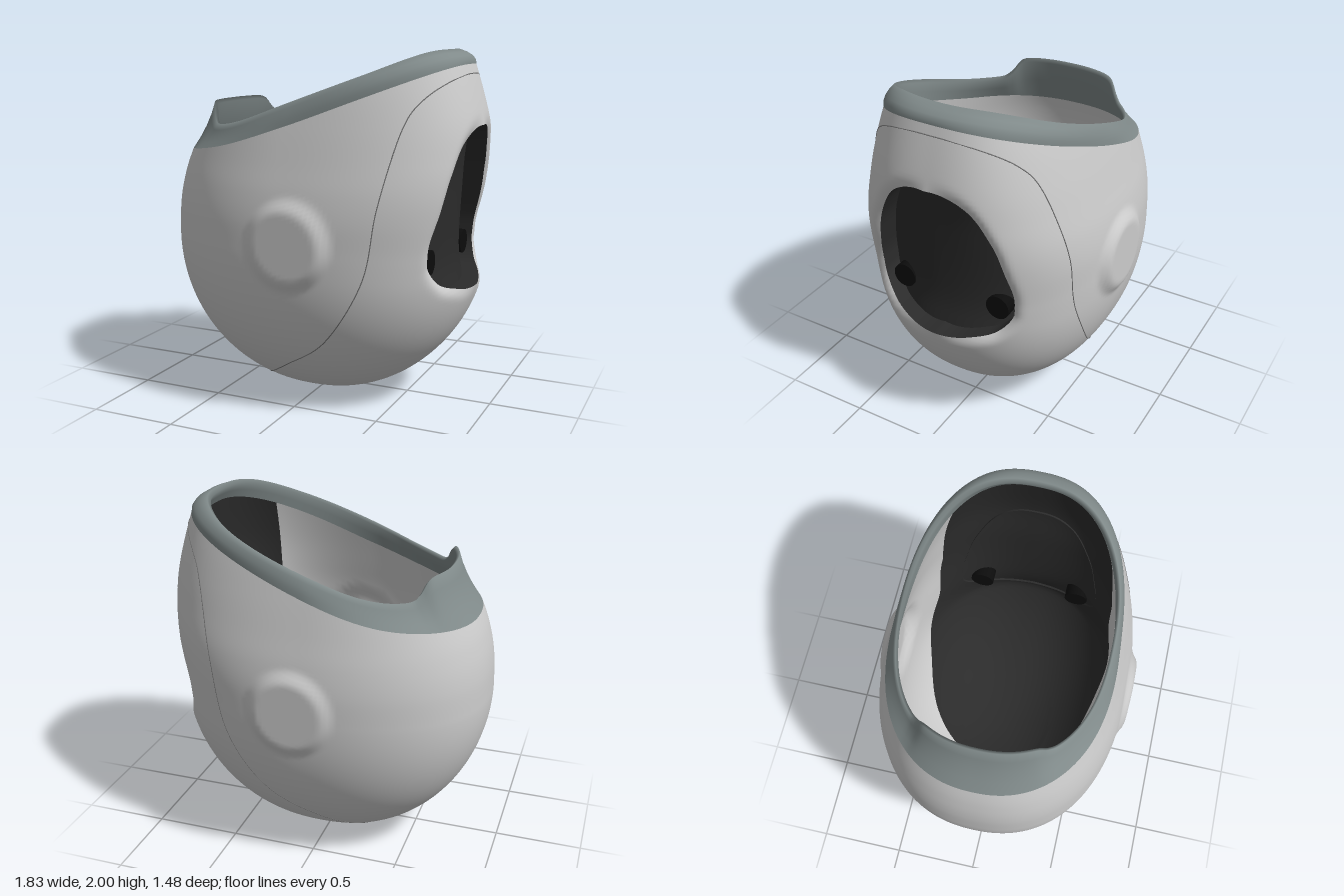
import * as THREE from 'three';
import { mergeVertices } from 'three/addons/utils/BufferGeometryUtils.js';

// Smooth lookup y = f(x) through a few points
function smooth(points) {
  const s = new THREE.SplineCurve(points.map(p => new THREE.Vector2(...p))).getPoints(200);
  return x => {
    if (x <= s[0].x) return s[0].y;
    for (let i = 1; i < s.length; i++) {
      if (x <= s[i].x) {
        const t = (x - s[i - 1].x) / (s[i].x - s[i - 1].x || 1);
        return s[i - 1].y + t * (s[i].y - s[i - 1].y);
      }
    }
    return s[s.length - 1].y;
  };
}

// Egg outline above its widest level: left, right and side half-widths by height
const MID = 0.93;
const leftUp = smooth([[MID, 0.91], [1.1, 0.902], [1.25, 0.875], [1.41, 0.82], [1.7, 0.68], [2, 0.5]]);
const rightUp = smooth([[MID, 0.93], [1.1, 0.937], [1.25, 0.943], [1.42, 0.938], [1.63, 0.91], [1.92, 0.83], [2, 0.79]]);
const sideUp = smooth([[MID, 0.715], [1.1, 0.71], [1.25, 0.69], [1.4, 0.657], [1.6, 0.612], [1.8, 0.56], [2, 0.49]]);
const bowl = (y, n) => y >= MID ? 1 : Math.sqrt(Math.max(0, 1 - Math.pow((MID - y) / MID, n)));
const leftR = y => leftUp(y) * bowl(y, 2);
const rightR = y => rightUp(y) * bowl(y, 2);
const sideR = y => sideUp(y) * bowl(y, 2.2);

// Slanted cut of the shell, crest of the rim, seam between the two shell halves
const cut = smooth([[-0.9, 1.405], [-0.82, 1.41], [-0.4, 1.477], [0, 1.6], [0.4, 1.75], [0.83, 1.92], [0.95, 1.97]]);
const crest = smooth([[-0.7, 1.69], [-0.66, 1.695], [-0.6, 1.685], [-0.56, 1.61], [-0.5, 1.58], [-0.3, 1.615],
  [0, 1.72], [0.4, 1.87], [0.66, 1.98], [0.74, 2]]);
const seam = smooth([[0, -0.6], [0.07, -0.33], [0.25, -0.04], [0.45, 0.24], [0.8, 0.46], [1.2, 0.54],
  [1.6, 0.63], [1.75, 0.71], [1.87, 0.845]]);
const visorR = smooth([[0, 0.9], [0.6, 0.8], [0.87, 0.755], [1.3, 0.76], [1.6, 0.79], [1.9, 0.76]]);
const THIN = 0.93;
const innerRightR = y => Math.min(THIN * rightR(y), visorR(y));

// Rounded-off ellipse section; squareness grows towards the top of the front half
const power = (x, y) => x > 0 ? 2.2 + 0.4 * THREE.MathUtils.smoothstep(y, 0.8, 1.4) : 2.25;
const across = (t, n) => Math.pow(Math.max(0, 1 - Math.pow(Math.abs(t), n)), 1 / n);
function section(a, left, right, side, y, n) {
  const c = Math.cos(a), s = -Math.sin(a);
  const k = Math.pow(Math.abs(c) ** n + Math.abs(s) ** n, -1 / n);
  return new THREE.Vector3(c * k * (c > 0 ? right : left), y, s * k * side);
}
// Soft round boss pressed out of each side wall
function boss(p, z) {
  const t = 1 - THREE.MathUtils.smoothstep(Math.hypot(p.x - 0.06, p.y - 0.98), 0.18, 0.26);
  if (t > 0 && Math.abs(p.z) > 0.4) p.z = Math.sign(p.z) * THREE.MathUtils.lerp(Math.abs(p.z), z, t);
  return p;
}
const outer = (a, y) => boss(section(a, leftR(y), rightR(y), sideR(y), y, power(Math.cos(a), y)), 0.738);
const inner = (a, y) => {
  const p = section(a, THIN * leftR(y), innerRightR(y), THIN * sideR(y), y, power(Math.cos(a), y));
  if (y < MID) p.y += 0.05 * (1 - y / MID);
  return boss(p, 0.69);
};
function topY(a) {
  let y = 1.6;
  for (let i = 0; i < 25; i++) y = (y + cut(outer(a, y).x)) / 2;
  return y;
}

// Window outline on the +x side, as a radius around (z 0, y 1.1); its sides dip into the shell
const WIN_Y = 1.1;
const winAngle = p => Math.atan2(p.y - WIN_Y, Math.abs(p.z));
const winRadius = smooth([[0, 0.7], [0.2, 0.715], [0.33, 0.76], [0.41, 0.86], [0.42, 0.95], [0.39, 1.15], [0.33, 1.35],
  [0.22, 1.52], [0.1, 1.585], [0, 1.595]].map(([z, y]) => [Math.atan2(y - WIN_Y, z), Math.hypot(z, y - WIN_Y)]));
const winGap = p => Math.hypot(p.z, p.y - WIN_Y) - winRadius(winAngle(p));
const dip = p => 0.045 * Math.min(1, Math.abs(p.z) / 0.35) * Math.max(0, 1 - Math.max(0, winGap(p)) / 0.07) ** 2;
function windowPoint(z, y) {
  const p = new THREE.Vector3(0, y, z), phi = winAngle(p), r = winRadius(phi);
  p.set(0, WIN_Y + r * Math.sin(phi), Math.sign(z || 1) * r * Math.cos(phi));
  p.x = rightR(p.y) * across(p.z / sideR(p.y), power(1, p.y)) - dip(p);
  return p;
}

// Surface from a point rule over u, v in 0..1; corners inside the window move to its outline,
// and faces lying wholly inside are left out
function grid(rule, nu, nv, dropped = () => false) {
  const pos = [], out = [], index = [];
  for (let j = 0; j <= nv; j++) for (let i = 0; i <= nu; i++) {
    const p = rule(i / nu, j / nv), gone = dropped(p);
    if (gone) p.copy(windowPoint(p.z, p.y));
    out.push(gone);
    pos.push(p.x, p.y, p.z);
  }
  const tri = (...t) => { if (!t.every(k => out[k])) index.push(...t); };
  for (let j = 0; j < nv; j++) for (let i = 0; i < nu; i++) {
    const a = j * (nu + 1) + i, b = a + 1, c = a + nu + 1, d = c + 1;
    tri(a, b, d);
    tri(a, d, c);
  }
  let g = new THREE.BufferGeometry();
  g.setAttribute('position', new THREE.Float32BufferAttribute(pos, 3));
  g.setIndex(index);
  g = mergeVertices(g, 1e-5);
  g.computeVertexNormals();
  return g;
}

export function createModel() {
  const model = new THREE.Group();
  const mat = color => new THREE.MeshStandardMaterial({ color, side: THREE.DoubleSide });
  const grey = mat(0xcccccc), rimMat = mat(0x808a8a), dark = mat(0x2b2b2b), black = mat(0x0c0c0c), line = mat(0x777777);
  const add = (name, geometry, material) => {
    const m = new THREE.Mesh(geometry, material);
    m.name = name;
    model.add(m);
    return m;
  };
  const TAU = Math.PI * 2, N = 240;
  const tops = Array.from({ length: N + 1 }, (_, i) => topY(i / N * TAU));
  const rise = v => v < 0.6 ? 1 - Math.cos(v * Math.PI / 2) : 0.4122 + (v - 0.6) / 0.4 * 0.5878;

  // Outer shell with the window cut out and its edge rounded inwards
  add('outerShell', grid((u, v) => {
    const p = outer(u * TAU, tops[Math.round(u * N)] * rise(v));
    if (p.x > 0.4) p.x -= dip(p);
    return p;
  }, N, 110, p => p.x > 0 && winGap(p) < 0), grey);

  // Dark reveal from the window edge back to the visor
  add('windowReveal', grid((u, v) => {
    const p = windowPoint(Math.cos(u * TAU), WIN_Y + Math.sin(u * TAU));
    const back = innerRightR(p.y) * across(p.z / (THIN * sideR(p.y)), power(1, p.y)) - 0.01;
    p.x = THREE.MathUtils.lerp(p.x, back, v);
    return p;
  }, 128, 3), dark);

  // Inner lining, split at the seam: dark visor in front, light wall behind
  const innerTop = a => topY(a) - 0.02;
  const seamAngle = v => {
    let s = 1;
    for (let i = 0; i < 30; i++) {
      const y = innerTop(s) * rise(v);
      const x = Math.min(0.55, seam(y)), r = x > 0 ? innerRightR(y) : THIN * leftR(y);
      const t = THREE.MathUtils.clamp(x / Math.max(r, 1e-4), -1, 1);
      s = (s + Math.atan2(across(t, power(x, y)), t)) / 2;
    }
    return s;
  };
  const ROWS = 60;
  const splits = Array.from({ length: ROWS + 1 }, (_, j) => seamAngle(j / ROWS));
  const lining = (from, to) => grid((u, v) => {
    const s = splits[Math.round(v * ROWS)];
    const a = THREE.MathUtils.lerp(from(s), to(s), u);
    return inner(a, innerTop(a) * rise(v));
  }, 100, ROWS);
  add('darkVisor', lining(s => -s, s => s), dark);
  add('innerWall', lining(s => s, s => TAU - s), grey);

  // Collar around the top opening: leaning outside, crest, inside
  add('rim', grid((u, v) => {
    const a = u * TAU, c = Math.cos(a), s = -Math.sin(a);
    const base = outer(a, tops[Math.round(u * N)]);
    const top = section(a, 0.67, 0.735, 0.57, 0, 2.3);
    top.y = crest(top.x);
    const bulge = c > 0 ? 0.008 + 0.022 * c * c : 0.008 + 0.025 * c;
    const mid = t => base.clone().lerp(top, t).add(new THREE.Vector3(c, 0.2, s).multiplyScalar(bulge * 4 * t * (1 - t)));
    const lip = new THREE.Vector3(top.x - c * 0.02, top.y - 0.02, top.z - s * 0.012);
    const foot = inner(a, innerTop(a));
    const rings = [base, mid(0.25), mid(0.5), mid(0.75), top, lip, lip.clone().lerp(foot, 0.5), foot];
    return rings[Math.round(v * 7)];
  }, N, 7), rimMat);

  // Fine seam line over the outer shell, mirrored and closed across the front and underside
  const path = [];
  for (let i = 0; i <= 80; i++) {
    const y = 0.075 + (1.868 - 0.075) * i / 80, x = seam(y);
    const r = x > 0 ? rightR(y) : leftR(y);
    path.push(new THREE.Vector3(x, y, sideR(y) * across(x / r, power(x, y))));
  }
  const loop = [...path, new THREE.Vector3(rightR(1.87), 1.87, 0),
    ...path.slice().reverse().map(p => new THREE.Vector3(p.x, p.y, -p.z))];
  add('seamLine', new THREE.TubeGeometry(new THREE.CatmullRomCurve3(loop, true), 320, 0.003, 5, true), line);

  // Small studs on the visor
  for (const side of [1, -1]) {
    const stud = add('visorStud', new THREE.CylinderGeometry(0.07, 0.07, 0.09, 32), black);
    stud.rotation.z = Math.PI / 2;
    stud.position.set(0.685, 0.87, side * 0.3);
  }
  return model;
}
